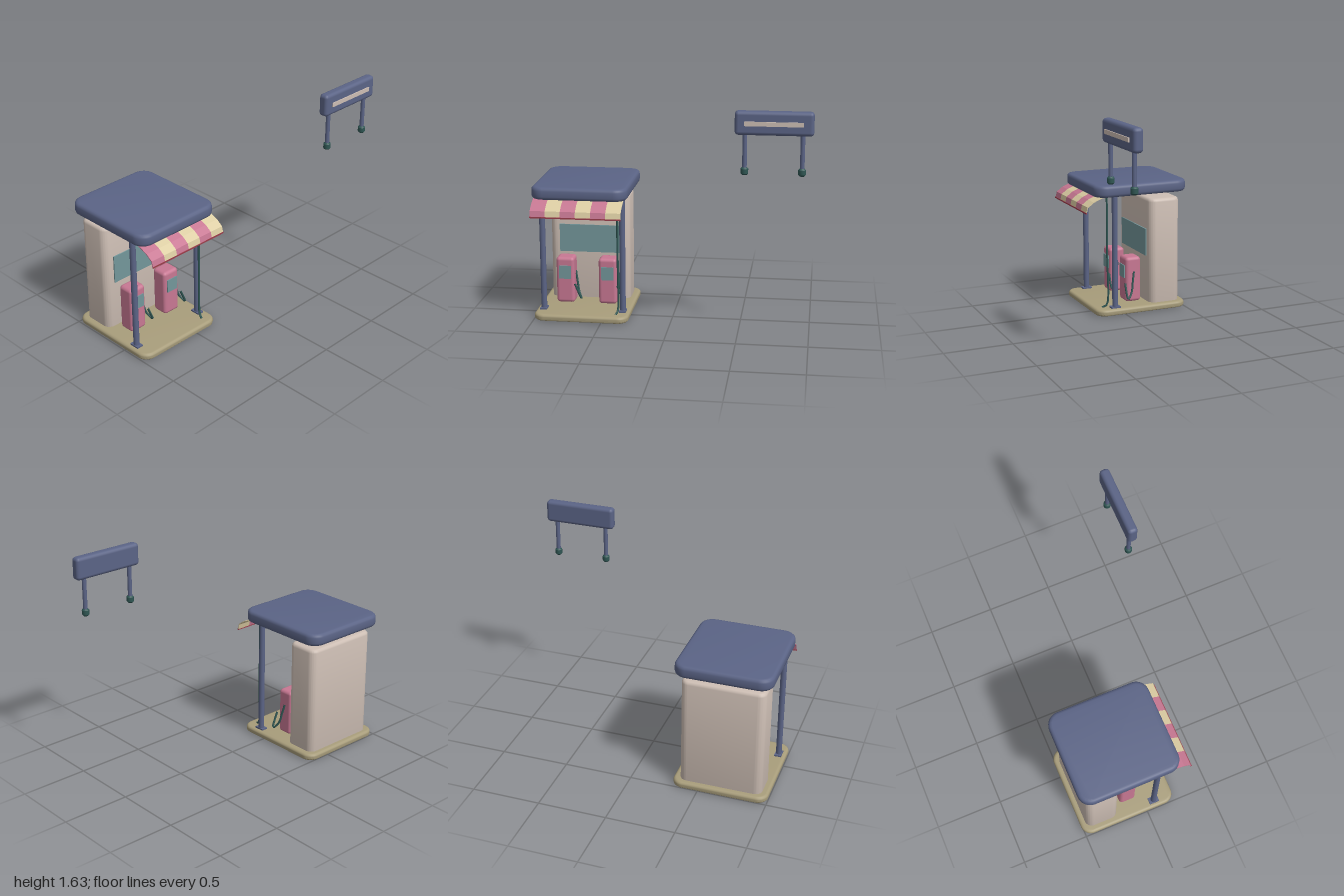
import * as THREE from 'three';
import { toCreasedNormals } from 'three/addons/utils/BufferGeometryUtils.js';
import { RoundedBoxGeometry } from 'three/addons/geometries/RoundedBoxGeometry.js';

const material = (name, color) => {
  const m = new THREE.MeshStandardMaterial({ color });
  m.name = name;
  return m;
};

export function createModel() {
  const slate = material('slate blue', 0x5b6486);
  const pink = material('pink', 0xc87893);
  const cream = material('cream', 0xdccda3);
  const khaki = material('khaki', 0xa89d7b);
  const beige = material('beige', 0xcdbeb4);
  const glass = material('glass teal', 0x73979b);
  const teal = material('dark teal', 0x2f5653);
  const red = material('trim red', 0x9c3e4c);

  const model = new THREE.Group();
  model.name = 'fuelStation';
  const CX = -0.6525; // centre line of the station

  const add = (name, geometry, mat, x = 0, y = 0, z = 0) => {
    const mesh = new THREE.Mesh(geometry, mat);
    mesh.name = name;
    mesh.position.set(x, y, z);
    model.add(mesh);
    return mesh;
  };
  const box = (name, mat, w, h, d, x, y, z) =>
    add(name, new THREE.BoxGeometry(w, h, d), mat, x, y, z);
  const rounded = (name, mat, w, h, d, r, x, y, z) =>
    add(name, new RoundedBoxGeometry(w, h, d, 2, r), mat, x, y, z);
  const rod = (name, mat, r, y0, y1, x, z) =>
    add(name, new THREE.CylinderGeometry(r, r, y1 - y0, 16), mat, x, (y0 + y1) / 2, z);
  const tube = (name, mat, r, points) => add(name, new THREE.TubeGeometry(
    new THREE.CatmullRomCurve3(points.map(p => new THREE.Vector3(...p)), false, 'centripetal'),
    24, r, 8), mat);

  // Horizontal slab with round corners in plan and bevelled rims
  const slab = (name, mat, w, d, y0, y1, z, r, bevel) => {
    const a = w / 2 - bevel, b = d / 2 - bevel;
    const s = new THREE.Shape();
    s.moveTo(-a + r, -b);
    s.lineTo(a - r, -b);
    s.absarc(a - r, -b + r, r, -Math.PI / 2, 0);
    s.lineTo(a, b - r);
    s.absarc(a - r, b - r, r, 0, Math.PI / 2);
    s.lineTo(-a + r, b);
    s.absarc(-a + r, b - r, r, Math.PI / 2, Math.PI);
    s.lineTo(-a, -b + r);
    s.absarc(-a + r, -b + r, r, Math.PI, Math.PI * 1.5);
    const g = new THREE.ExtrudeGeometry(s, {
      depth: y1 - y0 - 2 * bevel, bevelThickness: bevel, bevelSize: bevel,
      bevelSegments: 3, curveSegments: 6,
    });
    g.rotateX(-Math.PI / 2);
    return add(name, toCreasedNormals(g, 0.7), mat, CX, y0 + bevel, z);
  };

  // Ground plate, kiosk and canopy
  slab('basePlate', khaki, 0.695, 0.735, 0, 0.05, -0.143, 0.06, 0.02);
  slab('kiosk', beige, 0.6, 0.25, 0.01, 0.86, -0.345, 0.03, 0.025);
  slab('canopyRoof', slate, 0.695, 0.75, 0.91, 1, -0.145, 0.07, 0.025);
  box('canopyCeiling', slate, 0.58, 0.01, 0.62, CX, 0.909, -0.15);
  box('kioskWindow', glass, 0.457, 0.21, 0.009, CX, 0.515, -0.2155);

  for (const side of [-1, 1]) {
    // Front posts with foot plates, and ceiling lamps
    const px = CX + side * 0.294;
    rod('post', slate, 0.0215, 0.04, 0.92, px, 0.07);
    box('postFoot', slate, 0.05, 0.012, 0.075, px, 0.055, 0.07);
    rod('ceilingLamp', khaki, 0.04, 0.897, 0.91, CX + side * 0.2, 0.018);

    // Pump with display, hose and nozzle
    const x = CX + side * 0.159;
    rounded('pump', pink, 0.137, 0.35, 0.125, 0.025, x, 0.232, -0.1125);
    box('pumpDisplay', glass, 0.09, 0.1, 0.009, x, 0.295, -0.0475);
    tube('pumpHose', teal, 0.008, [
      [x + 0.069, 0.295, -0.115], [x + 0.082, 0.22, -0.1], [x + 0.098, 0.14, -0.083],
      [x + 0.122, 0.095, -0.045], [x + 0.112, 0.12, -0.04], [x + 0.074, 0.21, -0.04],
    ]);
  }

  // Air line running down beside the post
  tube('airLine', teal, 0.008, [
    [-0.385, 0.92, 0.122], [-0.385, 0.5, 0.122], [-0.385, 0.08, 0.122],
    [-0.39, 0.062, 0.135], [-0.4, 0.05, 0.16],
  ]);

  // Curved striped awning
  const profile = [[0.16, 0.918], [0.2, 0.906], [0.25, 0.885], [0.298, 0.85], [0.309, 0.805]];
  const lower = profile.map(([z, y]) => [z - 0.005, y - 0.004]).reverse();
  const section = new THREE.Shape([...profile, ...lower].map(p => new THREE.Vector2(...p)));
  const stripe = 0.65 / 6;
  for (let i = 0; i < 6; i++) {
    const g = new THREE.ExtrudeGeometry(section, { depth: stripe, bevelEnabled: false });
    g.rotateY(-Math.PI / 2);
    add('awningStripe', g, i % 2 ? cream : pink, -0.98 + (i + 1) * stripe);
  }
  box('awningTrim', red, 0.652, 0.01, 0.009, -0.655, 0.805, 0.307);

  // Separate raised sign on two legs
  rounded('signBoard', slate, 0.525, 0.162, 0.072, 0.025, 0.7375, 1.55, 0.476);
  box('signStripe', beige, 0.395, 0.03, 0.009, 0.735, 1.549, 0.5155);
  const foot = [[0, 0], [0.017, 0], [0.026, 0.01], [0.026, 0.042], [0.017, 0.052], [0, 0.052]];
  for (const x of [0.543, 0.927]) {
    rod('signLeg', slate, 0.0155, 1.22, 1.49, x, 0.476);
    const g = new THREE.LatheGeometry(foot.map(p => new THREE.Vector2(...p)), 12);
    add('signFoot', toCreasedNormals(g, 0.6), teal, x, 1.197, 0.476);
  }

  return model;
}
